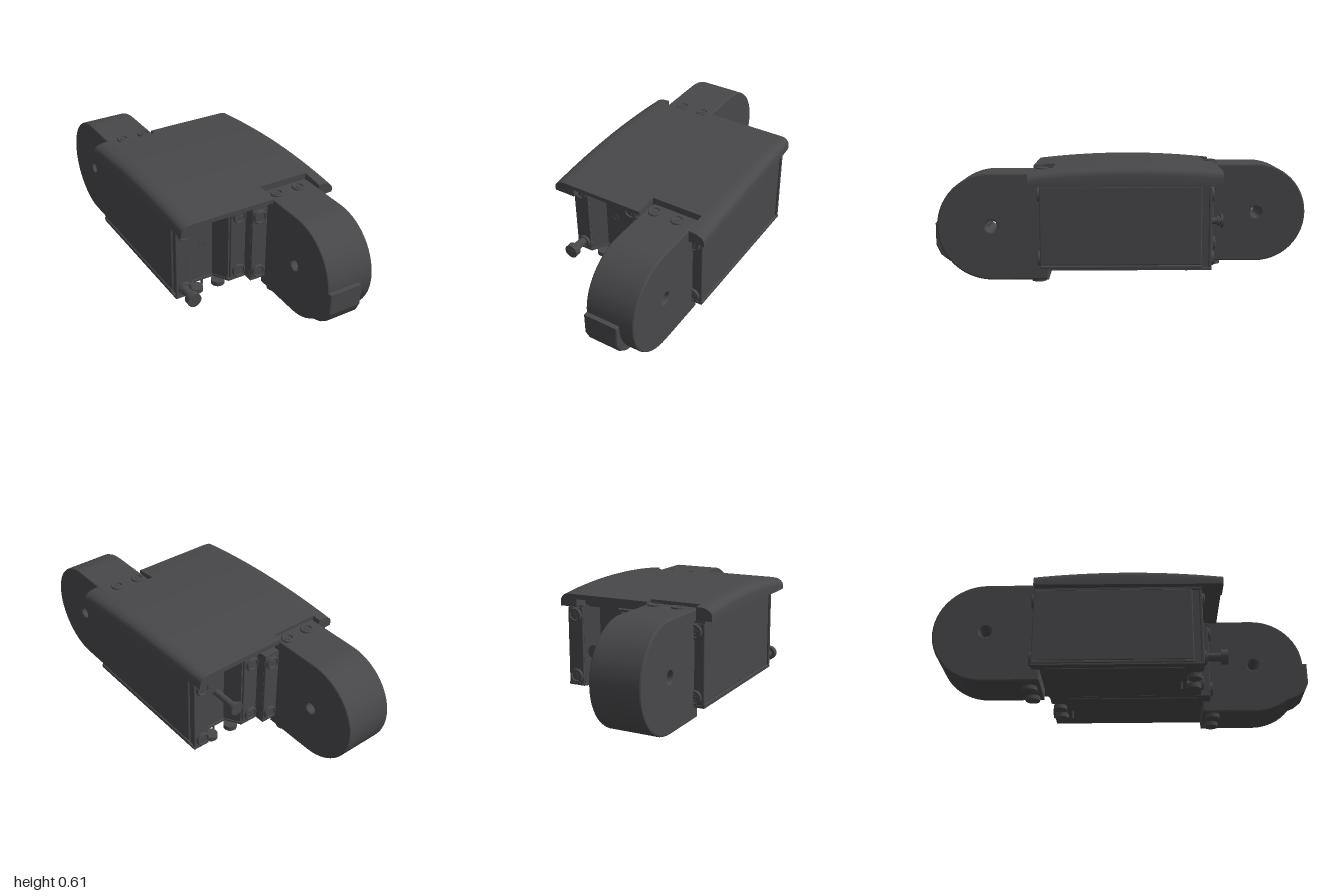
import * as THREE from 'three';
import { toCreasedNormals } from 'three/addons/utils/BufferGeometryUtils.js';
import { RoundedBoxGeometry } from 'three/addons/geometries/RoundedBoxGeometry.js';

const mat = new THREE.MeshStandardMaterial({ color: 0x48484b });

function add(parent, name, geo, x = 0, y = 0, z = 0) {
  const m = new THREE.Mesh(geo, mat);
  m.name = name;
  m.position.set(x, y, z);
  parent.add(m);
  return m;
}

const box = (w, h, d, r = 0.005) => new RoundedBoxGeometry(w, h, d, 2, r);
const cyl = (r, h, n = 24) => new THREE.CylinderGeometry(r, r, h, n);

// Extrudes a (z, y) outline along x, from x0 to x1
function extrudeX(shape, x0, x1, bevel = 0.008) {
  const g = new THREE.ExtrudeGeometry(shape, {
    depth: x1 - x0 - 2 * bevel, bevelEnabled: bevel > 0, bevelThickness: bevel,
    bevelSize: bevel, bevelOffset: -bevel, bevelSegments: 2, curveSegments: 14,
  });
  return g.rotateY(-Math.PI / 2).translate(x1 - bevel, 0, 0);
}

// Extrudes an (x, z) outline upwards from y0 to y1
function extrudeY(points, y0, y1) {
  const shape = new THREE.Shape(points.map(([x, z]) => new THREE.Vector2(x, -z)));
  return new THREE.ExtrudeGeometry(shape, { depth: y1 - y0, bevelEnabled: false })
    .rotateX(-Math.PI / 2).translate(0, y0, 0);
}

// Dished screw head with a cross, pointing along +y before rotation
function screw(parent, x, y, z, rx, size = 1) {
  const g = new THREE.Group();
  g.name = 'screw';
  const profile = [[0.037, -0.01], [0.037, 0.008], [0.034, 0.012], [0.029, 0.012], [0.026, 0.005], [0, 0.005]];
  const head = new THREE.LatheGeometry(profile.map(p => new THREE.Vector2(...p)), 24);
  add(g, 'screwHead', toCreasedNormals(head, 0.5));
  for (const a of [0.25, 0.25 + Math.PI / 2])
    add(g, 'screwCross', new THREE.BoxGeometry(0.034, 0.006, 0.008), 0, 0.005, 0).rotation.y = a;
  g.position.set(x, y, z);
  g.rotation.x = rx;
  g.scale.setScalar(size);
  parent.add(g);
}

// One half of the body with its end housing; the other half is the same, turned round
function createHalf(withLump) {
  const half = new THREE.Group();
  half.name = 'bodyHalf';

  // Body block with a tapered channel in its back end
  add(half, 'bodyBlock', extrudeY([
    [0.001, 0.44], [0.40, 0.44], [0.40, -0.41], [0.32, -0.41], [0.27, -0.33],
    [0.15, -0.33], [0.10, -0.41], [0.001, -0.41],
  ], 0.09, 0.515));
  add(half, 'sidePanel', box(0.02, 0.405, 0.82, 0.008), 0.401, 0.308, 0.04);
  add(half, 'sideRail', box(0.02, 0.016, 0.82), 0.405, 0.098, 0.04);
  for (const [y, name] of [[0.088, 'bottomPlate'], [0.513, 'topPlate']])
    add(half, name, extrudeY([
      [0.001, 0.45], [0.412, 0.45], [0.412, -0.42], [0.32, -0.42], [0.27, -0.34],
      [0.15, -0.34], [0.10, -0.42], [0.001, -0.42],
    ], y - 0.006, y + 0.006));
  add(half, 'bottomPanel', box(0.34, 0.01, 0.70, 0.004), 0.20, 0.081, 0.03);
  add(half, 'channelHole', new THREE.TorusGeometry(0.016, 0.002, 6, 20), 0.21, 0.30, -0.331);

  // End strips and their screws
  for (const [z, rx, s] of [[0.442, Math.PI / 2, 1], [-0.412, -Math.PI / 2, -1]])
    for (const x of [0.047, 0.366]) {
      add(half, 'endStrip', box(0.09, 0.41, 0.016), x, 0.30, z);
      for (const y of [0.135, 0.465]) screw(half, x - 0.004, y, z + s * 0.01, rx);
    }

  // Housing with a round nose and a hole through it
  const shape = new THREE.Shape();
  shape.moveTo(0.41, 0.022);
  shape.lineTo(0.70, 0.022);
  shape.absarc(0.70, 0.297, 0.275, -Math.PI / 2, Math.PI / 2, false);
  shape.lineTo(0.41, 0.572);
  shape.closePath();
  const hole = new THREE.Path();
  hole.absarc(0.70, 0.30, 0.03, 0, Math.PI * 2, true);
  shape.holes.push(hole);
  add(half, 'housing', toCreasedNormals(extrudeX(shape, 0.09, 0.357), 0.12));
  add(half, 'housingTop', box(0.267, 0.05, 0.1, 0.015), 0.2235, 0.547, 0.44);

  // Screws above and feet below the housing
  for (const x of [0.14, 0.27]) {
    screw(half, x, 0.571, 0.455, 0, 0.9);
    add(half, 'foot', cyl(0.038, 0.03), x, 0.015, 0.465);
    add(half, 'bottomBoss', cyl(0.036, 0.025), x, 0.072, -0.375);
  }
  add(half, 'bottomPin', cyl(0.006, 0.055, 10), 0.2, 0.06, -0.31);

  // Block on the lower nose
  if (withLump) {
    const outline = [[0.72, 0.025], [0.93, 0.105], [0.975, 0.14], [0.998, 0.19], [0.998, 0.305], [0.72, 0.305]];
    const lump = new THREE.Shape(outline.map(p => new THREE.Vector2(...p)));
    const cut = new THREE.Path();
    cut.absarc(0.75, 0.30, 0.026, 0, Math.PI * 2, true);
    // Starts forward of the hole so that stays open
    lump.setFromPoints([[0.76, 0.045], ...outline.slice(1, 5), [0.76, 0.305]].map(p => new THREE.Vector2(...p)));
    add(half, 'noseBlock', extrudeX(lump, 0.091, 0.278));
  }
  return half;
}

// Arched cover, lofted along x, notched for both housings
function coverGeometry() {
  const n = 20;
  const drop = x => {
    const t = Math.max(0, (Math.abs(x) - 0.38) / 0.07);
    return 0.04 * (1 - Math.sqrt(Math.max(0, 1 - t * t)));
  };
  const B = -0.475, F = 0.505, low = 0.52, high = 0.56;
  // x, back z, front z, underside
  const stations = [
    [-0.45, B, F, low], [-0.446, B, F, low], [-0.437, B, F, low], [-0.42, B, F, low], [-0.40, B, F, low],
    [-0.365, B, F, low], [-0.365, -0.43, F, low], [-0.32, -0.43, F, low], [-0.32, -0.43, F, high],
    [-0.095, -0.43, F, high], [-0.095, B, F, high],
    [0.085, B, F, high], [0.085, B, 0.385, high],
    [0.32, B, 0.385, high], [0.32, B, 0.385, low], [0.365, B, 0.385, low], [0.365, B, F, low],
    [0.40, B, F, low], [0.42, B, F, low], [0.437, B, F, low], [0.446, B, F, low], [0.45, B, F, low],
  ];
  const pos = [], idx = [], ring = 2 * (n + 1);
  for (const [x, zb, zf, under] of stations)
    for (let k = 0; k < ring; k++) {
      const top = k <= n;
      const z = zb + (zf - zb) * (top ? k : ring - 1 - k) / n;
      const taper = x > 0 ? 0.035 * ((F - z) / 0.98) ** 2 : 0.012 * (z - B) / 0.98;
      const pull = taper * Math.max(0, (Math.abs(x) - 0.365) / 0.085);
      pos.push(x - Math.sign(x) * pull, top ? 0.612 - 0.115 * z * z - drop(x) : under, z);
    }
  for (let s = 0; s < stations.length - 1; s++)
    for (let k = 0; k < ring; k++) {
      const a = s * ring + k, b = s * ring + (k + 1) % ring;
      idx.push(a, b, b + ring, a, b + ring, a + ring);
    }
  const end = (stations.length - 1) * ring;
  for (let k = 0; k < n; k++) {
    const p = k, q = k + 1, r = ring - 2 - k, t = ring - 1 - k;
    idx.push(p, r, q, p, t, r);
    idx.push(end + p, end + q, end + r, end + p, end + r, end + t);
  }
  const g = new THREE.BufferGeometry();
  g.setAttribute('position', new THREE.Float32BufferAttribute(pos, 3));
  g.setIndex(idx);
  return toCreasedNormals(g, 0.6);
}

export function createModel() {
  const model = new THREE.Group();
  model.name = 'twinHousingUnit';

  const front = createHalf(true);
  const back = createHalf(false);
  back.rotation.y = Math.PI;
  back.position.z = -0.025;
  model.add(front, back);

  add(model, 'cover', coverGeometry());
  add(model, 'coverCore', box(0.76, 0.06, 0.76), 0, 0.54, -0.01);

  // Bolt in the back channel
  const bolt = new THREE.Group();
  bolt.name = 'backBolt';
  for (const [r, h, z] of [[0.018, 0.17, -0.41], [0.037, 0.012, -0.494], [0.026, 0.012, -0.475]])
    add(bolt, 'boltPart', cyl(r, h), 0.2, 0.30, z).rotation.x = Math.PI / 2;
  model.add(bolt);

  // Socket bolt at the lower front corner
  const socket = new THREE.Group();
  socket.name = 'socketBolt';
  add(socket, 'boltShaft', cyl(0.022, 0.08), -0.37, 0.135, 0.44).rotation.x = Math.PI / 2;
  add(socket, 'boltHead', cyl(0.038, 0.035), -0.37, 0.135, 0.495).rotation.x = Math.PI / 2;
  add(socket, 'boltHex', cyl(0.02, 0.004, 6), -0.37, 0.135, 0.513).rotation.x = Math.PI / 2;
  model.add(socket);
  return model;
}
